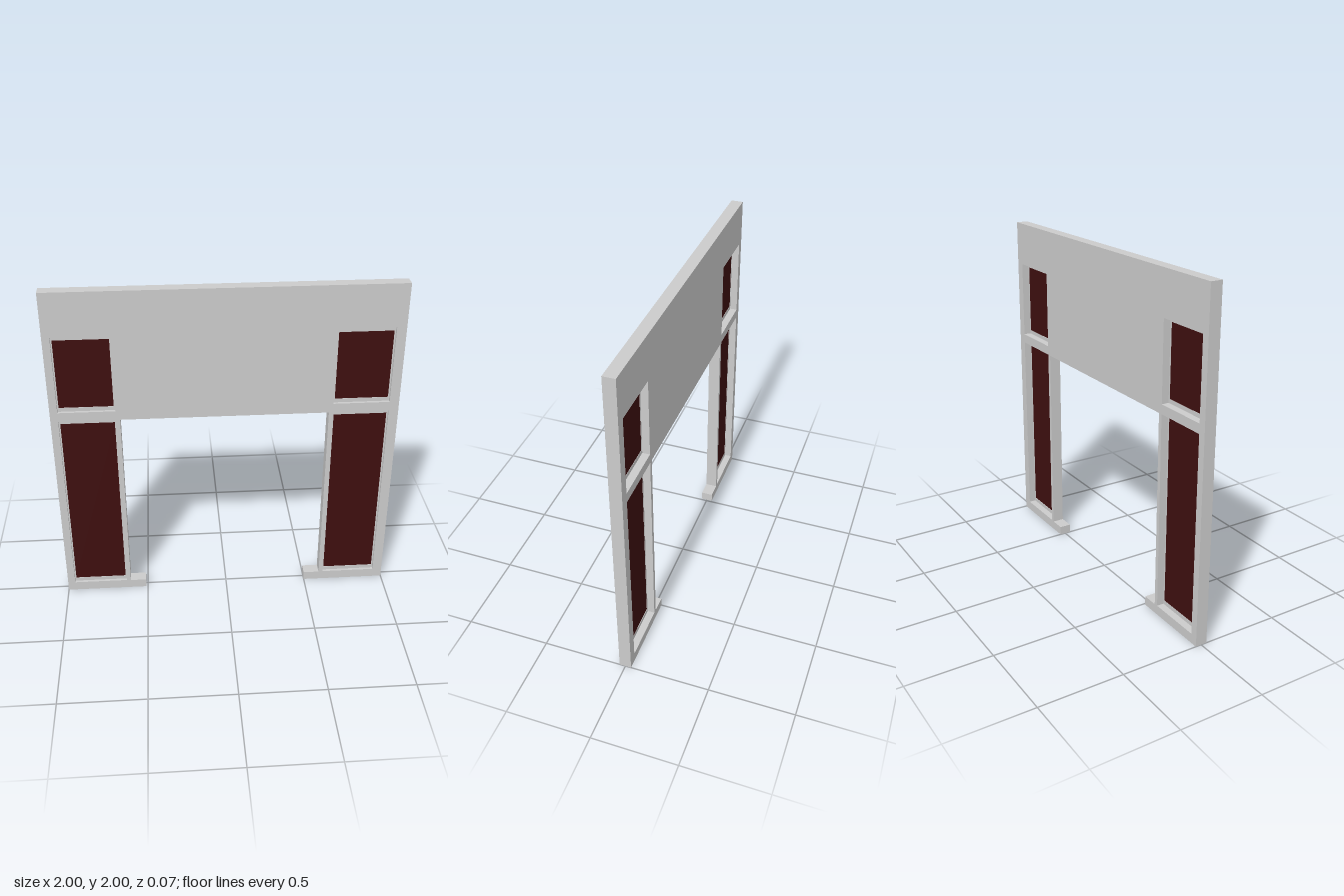
import * as THREE from 'three';

const grey = new THREE.MeshStandardMaterial({ color: 0xcccccc, flatShading: true });
const pane = new THREE.MeshStandardMaterial({ color: 0x3e0f0f, flatShading: true });

const DEPTH = 0.07;
const CENTRE = -0.006; // the doorway sits slightly off the middle
const points = (list) => list.map(([x, y]) => new THREE.Vector2(x, y));
const rect = (x0, x1, y0, y1) => points([[x0, y0], [x1, y0], [x1, y1], [x0, y1]]);

// Flat slab with optional rectangular holes, from zBack forward
function slab(name, outline, holes, zBack, depth, material) {
  const shape = new THREE.Shape(outline);
  holes.forEach((h) => shape.holes.push(new THREE.Path(h)));
  const geometry = new THREE.ExtrudeGeometry(shape, { depth, bevelEnabled: false });
  geometry.translate(0, 0, zBack);
  const mesh = new THREE.Mesh(geometry, material);
  mesh.name = name;
  return mesh;
}

export function createModel() {
  const group = new THREE.Group();
  group.name = 'entranceWall';

  // Window openings: one upper and one tall lower on each side
  const windows = [];
  for (const side of [-1, 1]) {
    const a = CENTRE + side * 0.624, b = CENTRE + side * 0.95;
    const x0 = Math.min(a, b), x1 = Math.max(a, b);
    const label = side > 0 ? 'left' : 'right';
    windows.push({ name: label + 'Upper', x0, x1, y0: 1.278, y1: 1.742 });
    windows.push({ name: label + 'Lower', x0, x1, y0: 0.057, y1: 1.222 });
  }

  // Wall with central doorway and small feet at the threshold
  const jamb = 0.6, foot = 0.504, footTop = 0.055, head = 1.222;
  const outline = points([
    [-1, 0], [CENTRE - foot, 0], [CENTRE - foot, footTop], [CENTRE - jamb, footTop],
    [CENTRE - jamb, head], [CENTRE + jamb, head], [CENTRE + jamb, footTop],
    [CENTRE + foot, footTop], [CENTRE + foot, 0], [1, 0], [1, 2], [-1, 2],
  ]);
  const holes = windows.map((w) => rect(w.x0, w.x1, w.y0, w.y1));
  group.add(slab('wall', outline, holes, -DEPTH / 2, DEPTH, grey));

  // Thin sash and dark pane set near the front of each opening
  for (const w of windows) {
    const inner = rect(w.x0 + 0.008, w.x1 - 0.008, w.y0 + 0.024, w.y1 - 0.024);
    group.add(slab(w.name + 'Sash', rect(w.x0, w.x1, w.y0, w.y1), [inner], 0.008, 0.01, grey));
    group.add(slab(w.name + 'Pane', inner, [], 0.01, 0.006, pane));
  }
  return group;
}
